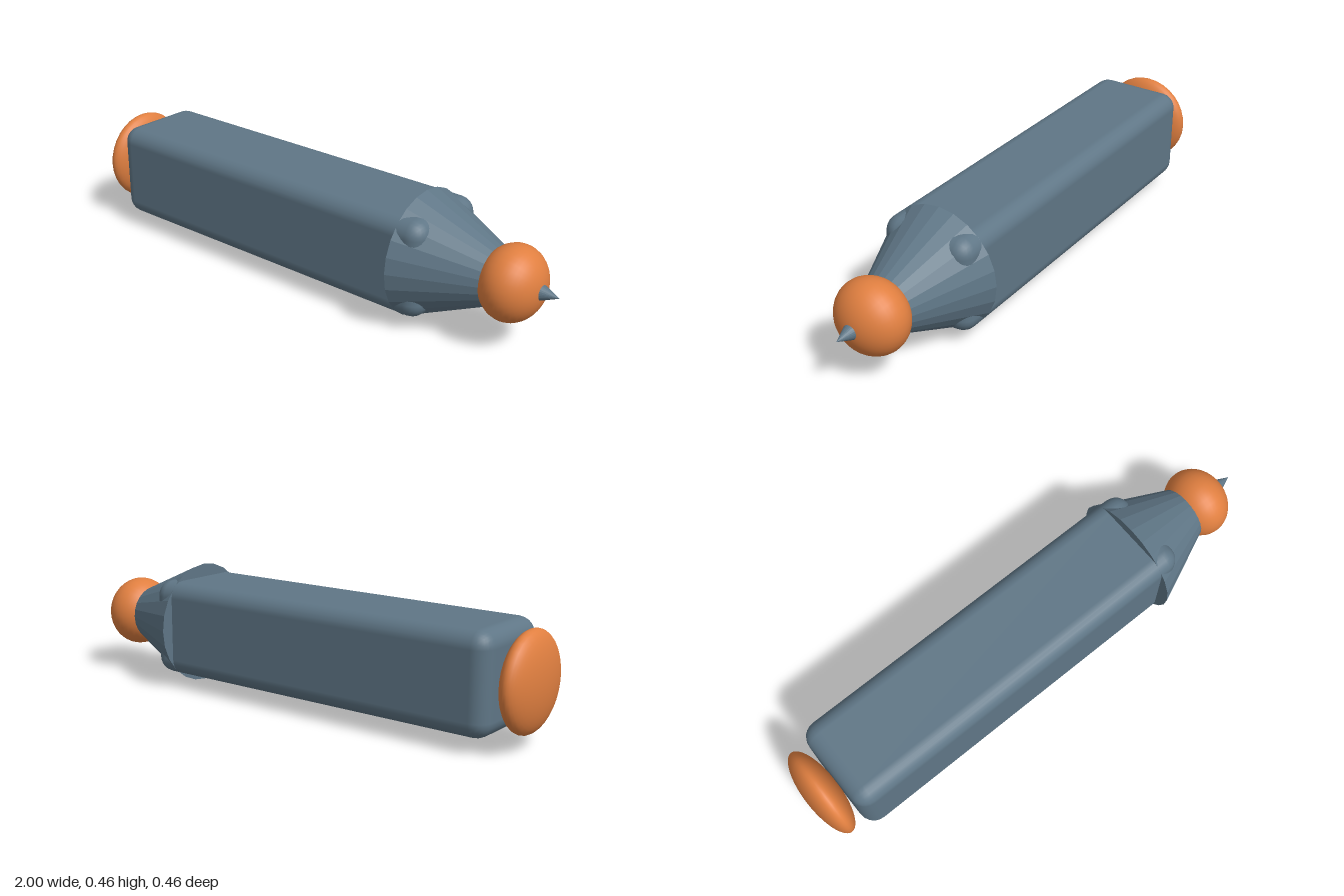
import * as THREE from 'three';
import { RoundedBoxGeometry } from 'three/addons/geometries/RoundedBoxGeometry.js';

export function createModel() {
  const model = new THREE.Group();
  const steel = new THREE.MeshStandardMaterial({ name: 'slateBlue', color: 0x5f7686 });
  const orange = new THREE.MeshStandardMaterial({ name: 'orange', color: 0xe07f40 });
  const axisY = 0.23;

  const add = (name, geometry, material, x) => {
    const mesh = new THREE.Mesh(geometry, material);
    mesh.name = name;
    mesh.position.set(x, axisY, 0);
    model.add(mesh);
  };

  // Sphere flattened along x, with its poles on the long axis
  const ellipsoid = (halfLength, radius) =>
    new THREE.SphereGeometry(1, 32, 24).rotateZ(-Math.PI / 2).scale(halfLength, radius, radius);

  // Long square body with rounded edges
  add('body', new RoundedBoxGeometry(1.455, 0.36, 0.36, 3, 0.06), steel, -0.15);

  // Faceted nose cone; its tip emerges through the nose ball
  const cone = new THREE.ConeGeometry(0.23, 0.523, 24).rotateZ(-Math.PI / 2).toNonIndexed();
  cone.computeVertexNormals();
  add('noseCone', cone, steel, 0.477 + 0.523 / 2);

  // Ball around the nose and flattened cap at the tail
  add('noseBall', ellipsoid(0.111, 0.134), orange, 0.831);
  add('tailCap', ellipsoid(0.062, 0.175), orange, -0.938);

  return model;
}
